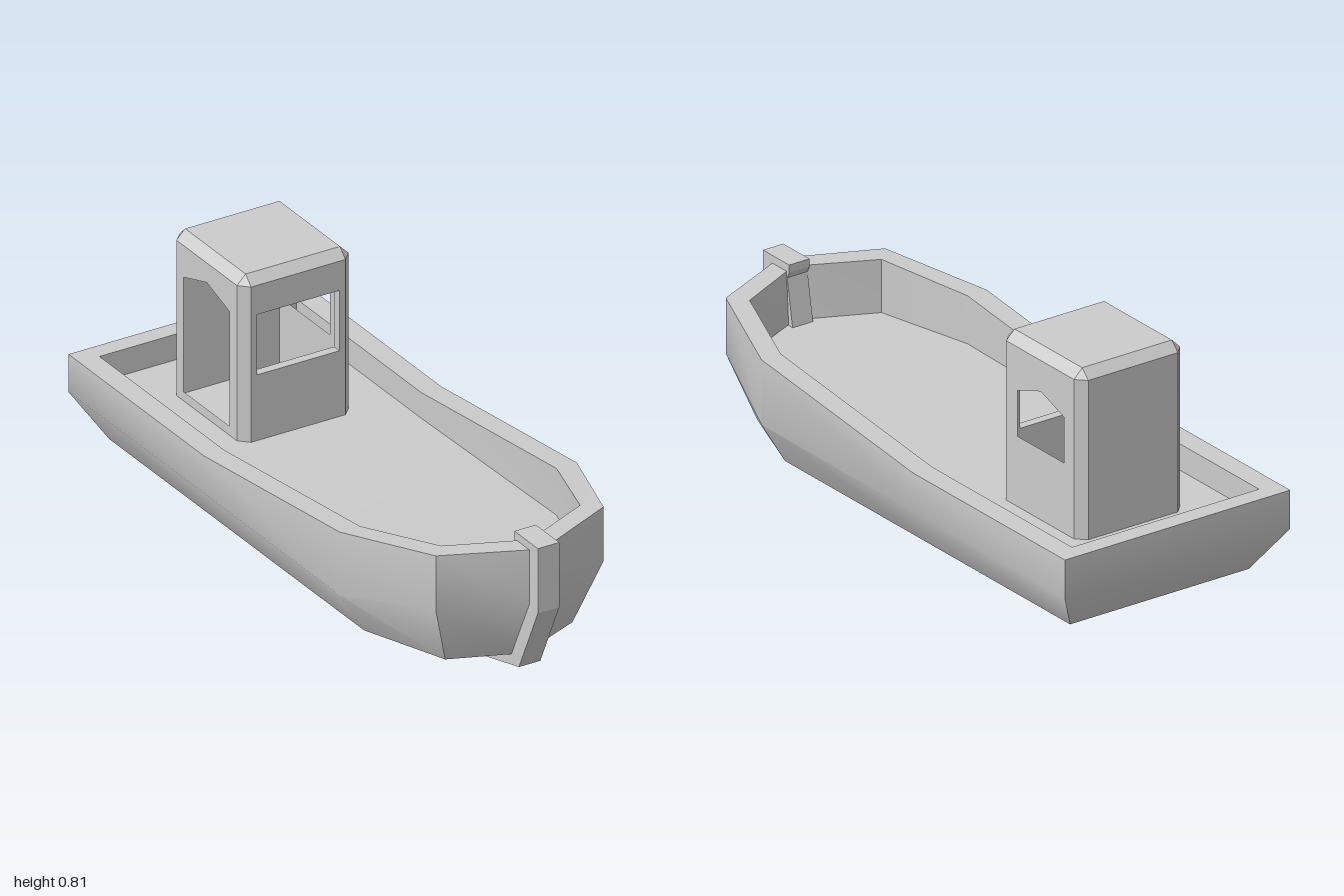
import * as THREE from 'three';
import { toCreasedNormals } from 'three/addons/utils/BufferGeometryUtils.js';
import { ConvexGeometry } from 'three/addons/geometries/ConvexGeometry.js';

const material = new THREE.MeshStandardMaterial({ color: 0xcccccc });
const flat = new THREE.MeshStandardMaterial({ color: 0xcccccc, flatShading: true });

function addMesh(parent, name, geometry, mat = flat) {
  const mesh = new THREE.Mesh(geometry, mat);
  mesh.name = name;
  parent.add(mesh);
  return mesh;
}

const polygon = (points) => new THREE.Shape(points.map(([x, y]) => new THREE.Vector2(x, y)));

function extrude(points, depth, hole) {
  const shape = polygon(points);
  if (hole) shape.holes.push(polygon(hole));
  return new THREE.ExtrudeGeometry(shape, { depth, bevelEnabled: false });
}

// Half outlines [x, y, z] from stern corner to stem, ordered keel to rim to deck
const hullRings = [
  [[0.11, 0, -0.7], [0.11, 0, -0.25], [0.11, 0, 0.5], [0.08, 0, 0.6], [0, 0, 0.64]],
  [[0.325, 0.09, -0.91], [0.325, 0.09, -0.25], [0.325, 0.09, 0.5], [0.22, 0.09, 0.78], [0, 0.09, 0.87]],
  [[0.41, 0.23, -1], [0.41, 0.23, -0.25], [0.41, 0.23, 0.5], [0.29, 0.3, 0.84], [0, 0.3, 0.97]],
  [[0.41, 0.355, -1], [0.41, 0.355, -0.25], [0.41, 0.44, 0.5], [0.29, 0.48, 0.84], [0, 0.48, 0.97]],
  [[0.34, 0.355, -0.94], [0.34, 0.355, -0.25], [0.34, 0.44, 0.5], [0.24, 0.477, 0.79], [0, 0.48, 0.9]],
  [[0.34, 0.27, -0.94], [0.34, 0.27, -0.25], [0.34, 0.285, 0.5], [0.24, 0.305, 0.79], [0, 0.31, 0.89]],
];

const mirrorX = ([x, y, z]) => [-x, y, z];

function hullGeometry() {
  const positions = [];
  const tri = (a, b, c) => positions.push(...a, ...b, ...c);
  const loops = hullRings.map((half) => [...half, ...half.slice(0, -1).reverse().map(mirrorX)]);

  // Skin between neighbouring rings
  for (let r = 0; r < loops.length - 1; r++) {
    const low = loops[r], high = loops[r + 1], n = low.length;
    for (let j = 0; j < n; j++) {
      const k = (j + 1) % n;
      tri(low[j], high[j], high[k]);
      tri(low[j], high[k], low[k]);
    }
  }

  // Flat bottom and deck, as strips across the beam
  const cap = (half, up) => {
    const face = (a, b, c) => (up ? tri(a, b, c) : tri(a, c, b));
    for (let k = 0; k < half.length - 1; k++) {
      const l0 = half[k], l1 = half[k + 1], r0 = mirrorX(l0), r1 = mirrorX(l1);
      face(l0, r0, r1);
      if (l1[0] > 0) face(l0, r1, l1);
    }
  };
  cap(hullRings[0], false);
  cap(hullRings[hullRings.length - 1], true);

  const geometry = new THREE.BufferGeometry();
  geometry.setAttribute('position', new THREE.Float32BufferAttribute(positions, 3));
  return toCreasedNormals(geometry, 0.58);
}

// Side profile [z, y] extruded across x
function alongX(points, x0, x1, hole) {
  const flip = (list) => list && list.map(([z, y]) => [-z, y]);
  return extrude(flip(points), x1 - x0, flip(hole)).rotateY(Math.PI / 2).translate(x0, 0, 0);
}

function buildCabin() {
  const cabin = new THREE.Group();
  cabin.name = 'cabin';
  const base = 0.265, eave = 0.785, top = 0.815;
  const halfX = 0.193, back = -0.78, front = -0.385, t = 0.03;
  const rect = (a, b, y0, y1) => [[a, y0], [b, y0], [b, y1], [a, y1]];
  const gable = (a, b, y0, y1, peak) => [[a, y0], [b, y0], [b, y1], [(a + b) / 2, peak], [a, y1]];

  // Walls
  const across = rect(-halfX + t, halfX - t, base, eave);
  addMesh(cabin, 'frontWall', extrude(across, t, rect(-0.142, 0.142, 0.488, 0.688)).translate(0, 0, front - t));
  addMesh(cabin, 'backWall', extrude(across, t).translate(0, 0, back));
  const side = rect(back + t, front - t, base, eave);
  addMesh(cabin, 'leftWallWithWindow',
    alongX(side, halfX - t, halfX, gable(-0.7, -0.47, 0.497, 0.645, 0.685)));
  addMesh(cabin, 'rightWallWithDoor',
    alongX(side, -halfX, -halfX + t, gable(-0.71, -0.455, 0.3, 0.68, 0.72)));

  // Bevelled corner posts
  for (const sx of [-1, 1]) {
    for (const [z, sz] of [[back, -1], [front, 1]]) {
      const x = sx * (halfX - t), zi = z - sz * t;
      const plan = [[x, zi], [x + sx * t, zi], [x, z]];
      const points = plan.flatMap(([px, pz]) => [base, eave].map((y) => new THREE.Vector3(px, y, pz)));
      addMesh(cabin, 'cornerPost', new ConvexGeometry(points));
    }
  }

  // Roof with bevelled edges
  const roof = [];
  for (const sx of [-1, 1]) {
    for (const [z, sz] of [[back, -1], [front, 1]]) {
      const x = sx * (halfX - t), zi = z - sz * t;
      roof.push(
        new THREE.Vector3(x, top, zi),
        new THREE.Vector3(x + sx * t, eave, zi),
        new THREE.Vector3(x, eave, z),
      );
    }
  }
  addMesh(cabin, 'roof', new ConvexGeometry(roof));
  return cabin;
}

export function createModel() {
  const boat = new THREE.Group();
  boat.name = 'boat';
  addMesh(boat, 'hull', hullGeometry(), material);

  // Stem post following the bow, with a cap hooked over the rim
  const stem = [
    [0.64, 0], [0.895, 0.065], [1, 0.29], [1, 0.505],
    [0.87, 0.505], [0.87, 0.48], [0.88, 0.46], [0.85, 0.29], [0.8, 0.1],
  ];
  addMesh(boat, 'stemPost', alongX(stem, -0.037, 0.037));

  boat.add(buildCabin());
  return boat;
}
